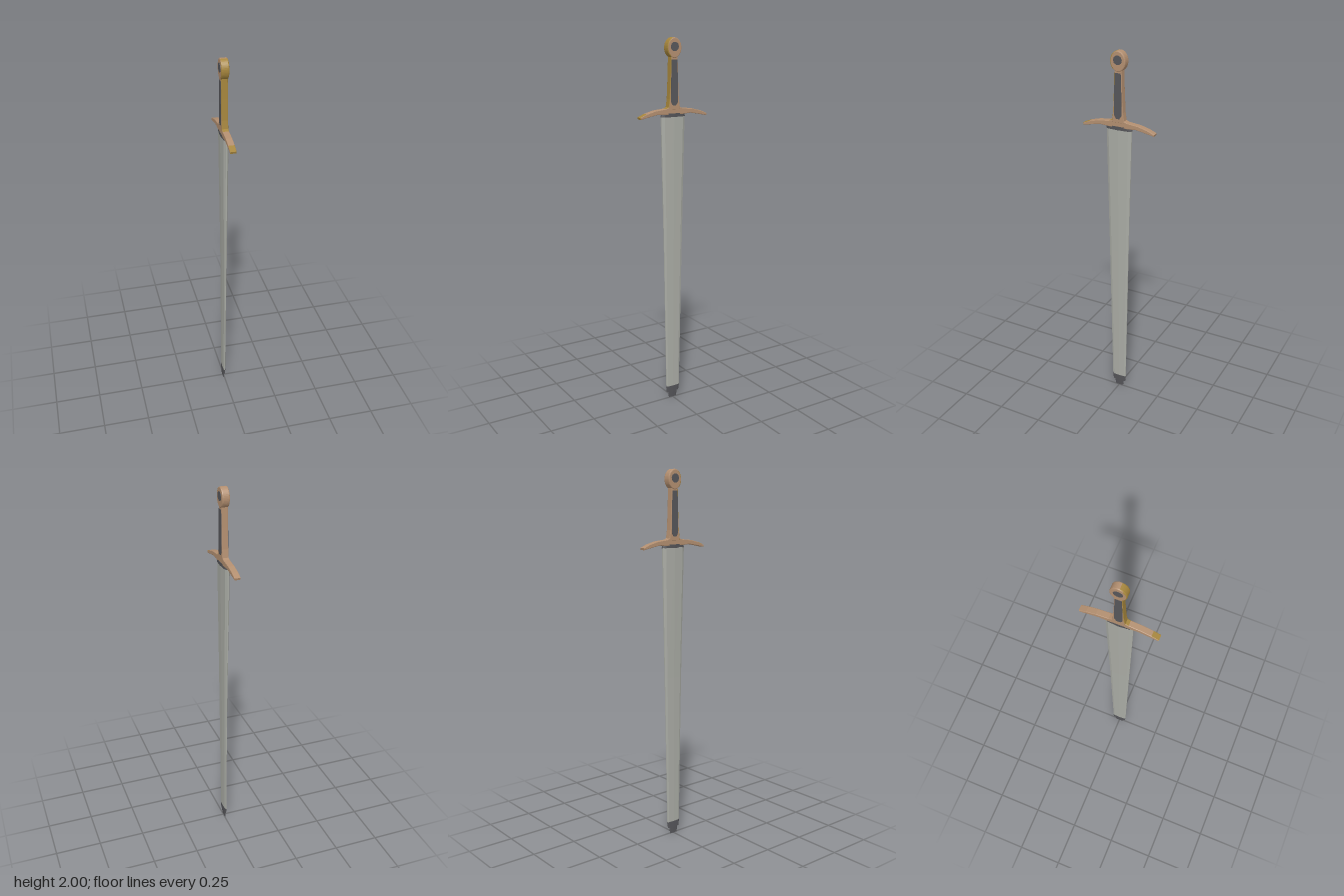
import * as THREE from 'three';

const mat = (name, color) => {
  const m = new THREE.MeshStandardMaterial({ color });
  m.name = name;
  return m;
};

export function createModel() {
  const model = new THREE.Group();
  model.name = 'sword';
  const steel = mat('pale steel', 0xa9aba4);
  const dark = mat('dark grey', 0x56565a);
  const tan = mat('tan bronze', 0xb38f70);
  const gold = mat('old gold', 0xa5853c);

  const add = (name, geometry, material) => {
    const mesh = new THREE.Mesh(geometry, material);
    mesh.name = name;
    model.add(mesh);
    return mesh;
  };

  // Extrudes a (z, y) outline across x, centred on x = 0
  const slab = (shape, width, bevel = 0) => {
    const g = new THREE.ExtrudeGeometry(shape, {
      depth: width - 2 * bevel, bevelEnabled: bevel > 0, bevelSize: bevel,
      bevelThickness: bevel, bevelOffset: -bevel, bevelSegments: 2, curveSegments: 20,
    });
    g.translate(0, 0, -width / 2 + bevel);
    g.rotateY(-Math.PI / 2);
    return g;
  };

  // Faces turned to the front take the gold, all others the tan
  const twoTone = (g) => {
    const n = g.attributes.normal;
    g.clearGroups();
    for (let i = 0; i < n.count; i += 3) {
      const nz = (n.getZ(i) + n.getZ(i + 1) + n.getZ(i + 2)) / 3;
      g.addGroup(i, 3, nz > 0.26 ? 1 : 0);
    }
    return g;
  };
  const metal = [tan, gold];

  const outline = (pts) => new THREE.Shape(pts.map(([z, y]) => new THREE.Vector2(z, y)));

  // Lofts bevelled six-sided sections [y, half width z, half thickness x, centre x]
  const loft = (sections) => {
    const ring = ([y, w, t, cx]) => [
      [t * 0.25, w], [t * 0.8, w * 0.78], [t, 0], [t * 0.8, -w * 0.78], [t * 0.25, -w],
      [-t * 0.25, -w], [-t * 0.8, -w * 0.78], [-t, 0], [-t * 0.8, w * 0.78], [-t * 0.25, w],
    ].map(([x, z]) => [x + cx, y, z]);
    const rings = sections.map(ring);
    const pos = [];
    const n = rings[0].length;
    for (let s = 0; s < rings.length - 1; s++) {
      for (let i = 0; i < n; i++) {
        const j = (i + 1) % n;
        const [a, b, c, d] = [rings[s][i], rings[s][j], rings[s + 1][j], rings[s + 1][i]];
        pos.push(...a, ...b, ...c, ...a, ...c, ...d);
      }
    }
    const first = rings[0], last = rings[rings.length - 1];
    for (let i = 1; i < n - 1; i++) {
      pos.push(...first[0], ...first[i + 1], ...first[i]);
      pos.push(...last[0], ...last[i], ...last[i + 1]);
    }
    const g = new THREE.BufferGeometry();
    g.setAttribute('position', new THREE.Float32BufferAttribute(pos, 3));
    g.computeVertexNormals();
    return g;
  };

  // Blade, its broken tip and the collar under the guard
  add('blade', loft([[0.07, 0.041, 0.006, -0.002], [0.9, 0.056, 0.010, 0], [1.6, 0.071, 0.017, -0.001]]), steel);
  add('tipCollar', loft([[0.035, 0.037, 0.006, -0.003], [0.07, 0.042, 0.007, -0.002]]), dark);
  add('tip', loft([[0, 0.023, 0.003, -0.004], [0.036, 0.028, 0.005, -0.003]]), dark);
  add('bladeCollar', loft([[1.597, 0.072, 0.018, 0], [1.616, 0.068, 0.019, 0]]), dark);

  // Guard with drooping arms
  const top = [[0.203, 1.605], [0.165, 1.621], [0.115, 1.634], [0.05, 1.641], [0.033, 1.648]];
  const under = [[0.05, 1.609], [0.1, 1.613], [0.15, 1.604], [0.2, 1.594]];
  const flip = (pts) => pts.map(([z, y]) => [-z, y]).reverse();
  add('guard', twoTone(slab(outline([...under, ...top, ...flip(top), ...flip(under)]), 0.033, 0.003)), metal);

  // Grip flaring towards the guard, with dark inlays on both faces
  const side = [[0.036, 1.635], [0.028, 1.69], [0.023, 1.8], [0.02, 1.91]];
  add('grip', twoTone(slab(outline([...side, ...flip(side)]), 0.034, 0.003)), metal);
  const inlay = [[0.009, 1.656], [0.021, 1.675], [0.0195, 1.8], [0.0165, 1.89]];
  for (const s of [1, -1]) {
    const panel = slab(outline([...inlay, ...flip(inlay)]), 0.004);
    panel.translate(s * 0.0165, 0, 0);
    add('gripInlay', panel, dark);
  }

  // Oval pommel with a dark disc on both faces
  const oval = new THREE.Shape().absellipse(0, 1.948, 0.042, 0.052, 0, Math.PI * 2);
  add('pommel', twoTone(slab(oval, 0.04, 0.005)), metal);
  for (const s of [1, -1]) {
    const disc = new THREE.CylinderGeometry(0.024, 0.024, 0.004, 10);
    disc.rotateZ(Math.PI / 2);
    disc.translate(s * 0.0195, 1.954, 0);
    add('pommelDisc', disc, dark);
  }
  return model;
}
